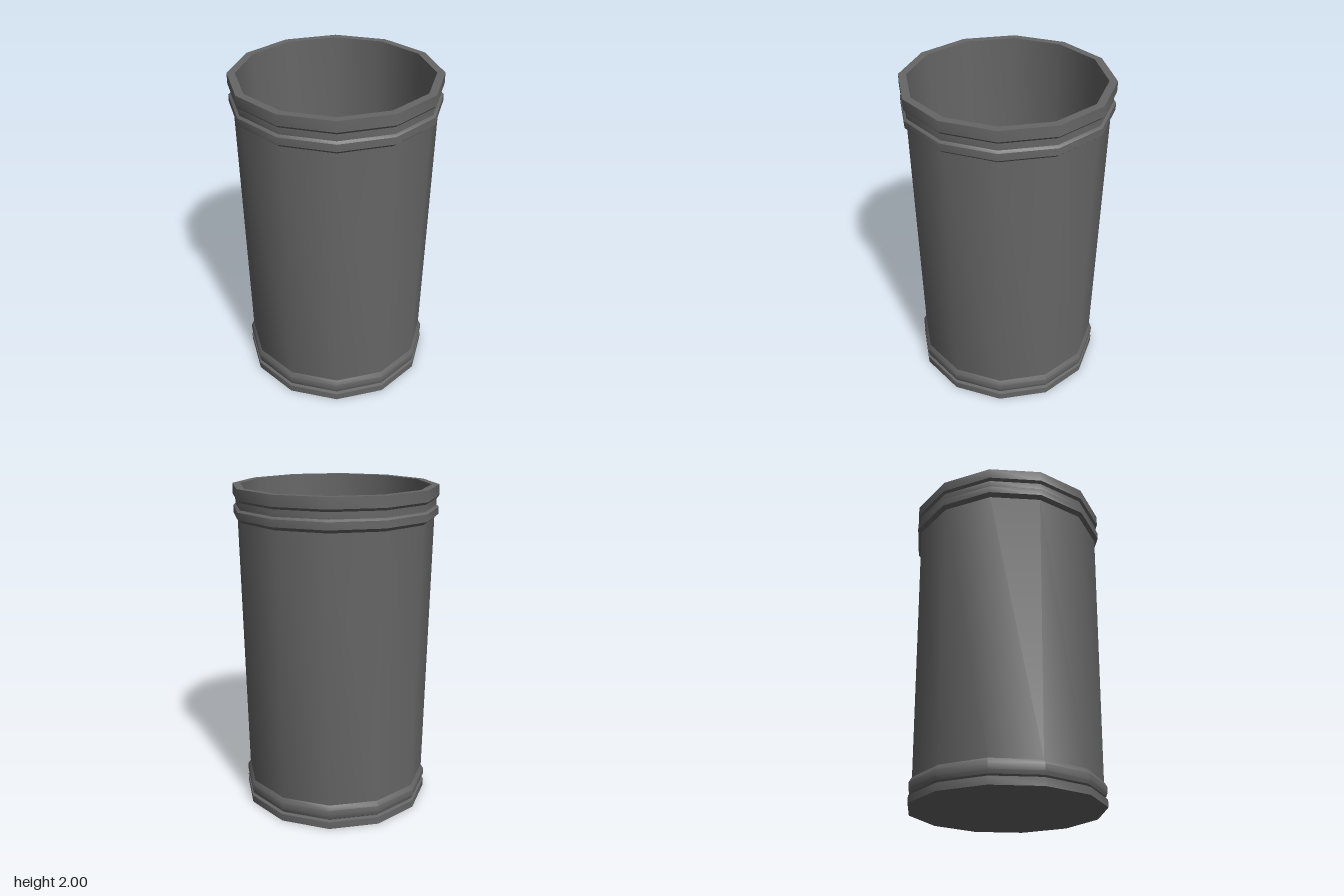
import * as THREE from 'three';
import { toCreasedNormals } from 'three/addons/utils/BufferGeometryUtils.js';

const SIDES = 12;
const material = new THREE.MeshStandardMaterial({ color: 0x666666 });

// Twelve-sided turned part, smooth around and sharp at the profile corners
function turned(name, profile) {
  const points = profile.map(([r, y]) => new THREE.Vector2(r, y));
  const geometry = toCreasedNormals(new THREE.LatheGeometry(points, SIDES), 0.6);
  const mesh = new THREE.Mesh(geometry, material);
  mesh.name = name;
  return mesh;
}

export function createModel() {
  const group = new THREE.Group();
  group.name = 'bin';

  // Closed underside, foot ring, groove and rounded lower band
  group.add(turned('base', [
    [0, 0], [0.592, 0], [0.592, 0.045], [0.572, 0.05],
    [0.572, 0.054], [0.583, 0.062], [0.591, 0.085], [0.591, 0.122], [0.574, 0.15],
  ]));

  // Slightly flared outer wall
  group.add(turned('wall', [[0.574, 0.15], [0.598, 1.805]]));

  // Lower ring, recess and top lip
  group.add(turned('rim', [
    [0.598, 1.805], [0.622, 1.825], [0.622, 1.868], [0.608, 1.88],
    [0.608, 1.92], [0.622, 1.935], [0.622, 2], [0.575, 2],
  ]));

  // Tapered inside and floor
  group.add(turned('interior', [[0.575, 2], [0.533, 0.06], [0, 0.06]]));

  return group;
}
